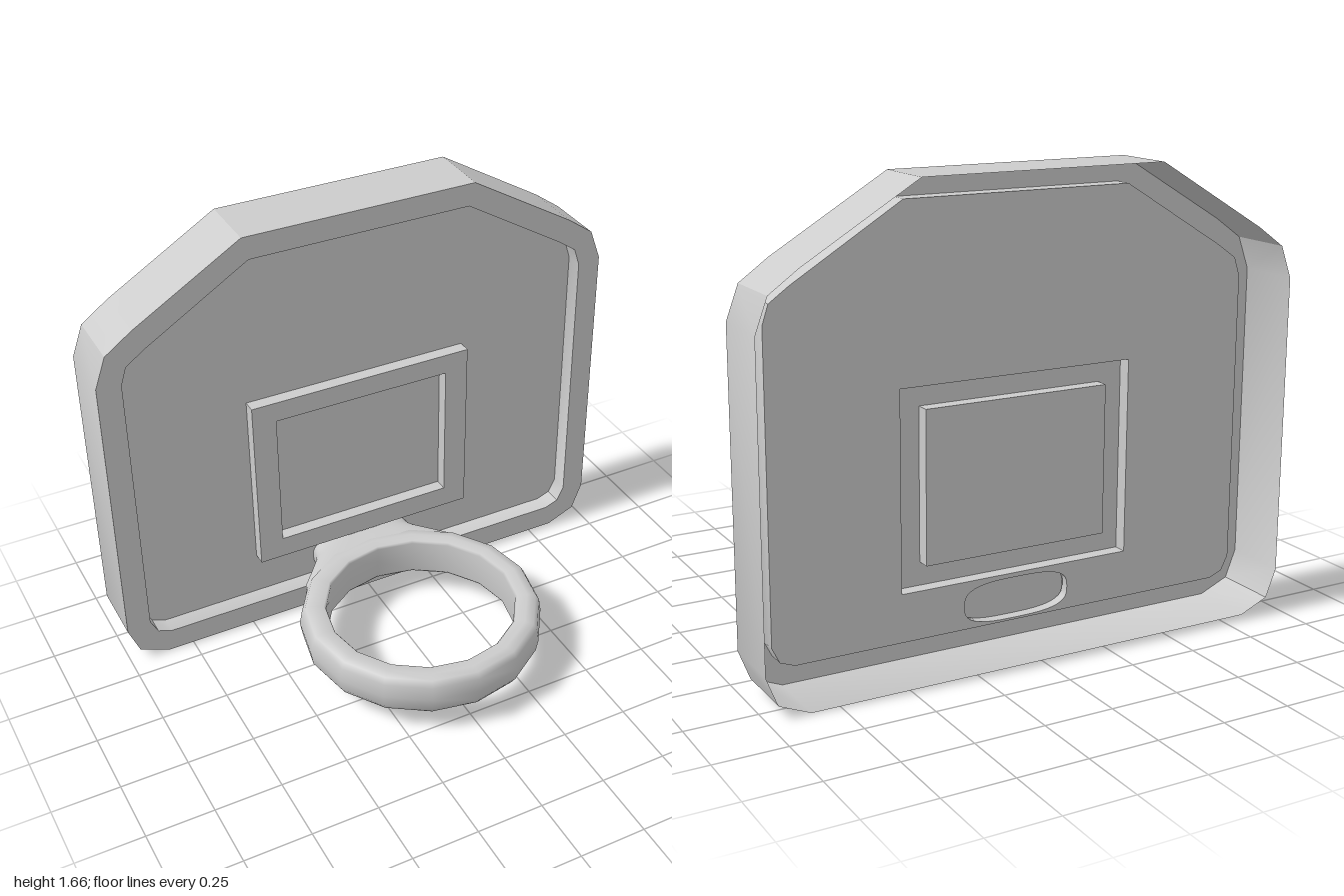
import * as THREE from 'three';
import { toCreasedNormals } from 'three/addons/utils/BufferGeometryUtils.js';

const FRONT = -0.332, BACK = -0.571, PANEL = -0.4, FRAME = -0.35;
const RING_Z = 0.115, MID_Y = 0.172;

const grey = new THREE.MeshStandardMaterial({ color: 0xcccccc, side: THREE.DoubleSide });

// Right half of an outline (bottom to top) mirrored into a closed loop
const mirror = (half) => [...half, ...half.slice().reverse().map(([x, y]) => [-x, y])];
const rect = (w, y0, y1) => mirror([[w, y0], [w, y1]]);

const OUTER = mirror([[0.85, 0], [0.96, 0.047], [1, 0.15], [1, 1.23], [0.957, 1.347], [0.855, 1.42], [0.447, 1.665]]);
const INNER = mirror([[0.83, 0.09], [0.883, 0.11], [0.91, 0.165], [0.91, 1.22], [0.888, 1.287], [0.818, 1.337], [0.425, 1.578]]);
const FRAME_OUT = rect(0.443, 0.262, 0.966);
const FRAME_IN = rect(0.35, 0.345, 0.887);

// Flattened cross-section of the ring's mount; a lower power is boxier
function oval(w, h, power, n = 40) {
  const soft = (v) => Math.sign(v) * Math.abs(v) ** power;
  return Array.from({ length: n }, (_, i) => {
    const a = (i / n) * Math.PI * 2;
    return [w * soft(Math.cos(a)), MID_Y + h * soft(Math.sin(a))];
  });
}

function addMesh(parent, name, geometry) {
  const mesh = new THREE.Mesh(geometry, grey);
  mesh.name = name;
  parent.add(mesh);
  return mesh;
}

// Flat sheet facing the front, with optional holes
function sheet(outline, holes, z) {
  const vec = (pts) => pts.map(([x, y]) => new THREE.Vector2(x, y));
  const shape = new THREE.Shape(vec(outline));
  shape.holes = holes.map((h) => new THREE.Path(vec(h)));
  return new THREE.ShapeGeometry(shape).translate(0, 0, z);
}

// Skin through closed loops of [x, y, z], running from front to back
function loft(loops) {
  const n = loops[0].length, index = [];
  for (let s = 0; s < loops.length - 1; s++) {
    for (let i = 0; i < n; i++) {
      const a = s * n + i, b = s * n + (i + 1) % n;
      index.push(a + n, b + n, b, a + n, b, a);
    }
  }
  const g = new THREE.BufferGeometry();
  g.setAttribute('position', new THREE.Float32BufferAttribute(loops.flat(2), 3));
  g.setIndex(index);
  g.computeVertexNormals();
  return g;
}

// Straight wall along an outline, creased at its sharper corners
function wall(outline, zFront, zBack) {
  return toCreasedNormals(loft([zFront, zBack].map((z) => outline.map(([x, y]) => [x, y, z]))), 0.5);
}

export function createModel() {
  const model = new THREE.Group();
  model.name = 'basketballHoop';
  const socket = oval(0.205, 0.074, 0.65);

  // Backboard: an open-backed shell with a recessed panel
  const board = new THREE.Group();
  board.name = 'backboard';
  model.add(board);
  addMesh(board, 'outerWall', wall(OUTER, FRONT, BACK));
  addMesh(board, 'borderFace', sheet(OUTER, [INNER], FRONT));
  addMesh(board, 'borderStep', wall(INNER, FRONT, PANEL));
  addMesh(board, 'panel', sheet(INNER, [FRAME_OUT, socket], PANEL));

  // Raised target frame, hollow behind
  const target = new THREE.Group();
  target.name = 'targetFrame';
  board.add(target);
  addMesh(target, 'frameOuterWall', wall(FRAME_OUT, FRAME, PANEL));
  addMesh(target, 'frameFace', sheet(FRAME_OUT, [FRAME_IN], FRAME));
  addMesh(target, 'frameInnerWall', wall(FRAME_IN, FRAME, PANEL));
  addMesh(target, 'targetPanel', sheet(FRAME_IN, [], PANEL));

  // Sixteen-sided ring with a rounded outer face
  const profile = [
    [0.355, 0.175], [0.355, 0.108], [0.362, 0.098], [0.40, 0.095], [0.432, 0.099], [0.446, 0.122],
    [0.454, 0.172], [0.446, 0.222], [0.432, 0.246], [0.40, 0.25], [0.362, 0.247], [0.355, 0.238], [0.355, 0.175],
  ].map(([r, y]) => new THREE.Vector2(r, y));
  addMesh(model, 'ring', new THREE.LatheGeometry(profile, 16)).position.z = RING_Z;

  // Flared mount: its front end follows the curve of the ring
  const sections = [
    [-0.12, 0.35, 0.076, 0.35], [-0.2, 0.33, 0.076, 0.35], [-0.26, 0.28, 0.076, 0.4],
    [FRONT, 0.225, 0.075, 0.55], [-0.365, 0.21, 0.074, 0.65], [PANEL, 0.205, 0.074, 0.65],
  ];
  const loops = sections.map(([z, w, h, power]) => oval(w, h, power).map(([x, y]) =>
    [x, y, Math.min(z, RING_Z - Math.sqrt(0.4 ** 2 - x * x))]));
  addMesh(model, 'ringMount', loft(loops));
  addMesh(model, 'mountSocketFloor', sheet(oval(0.21, 0.074, 0.65), [], -0.36));

  return model;
}
